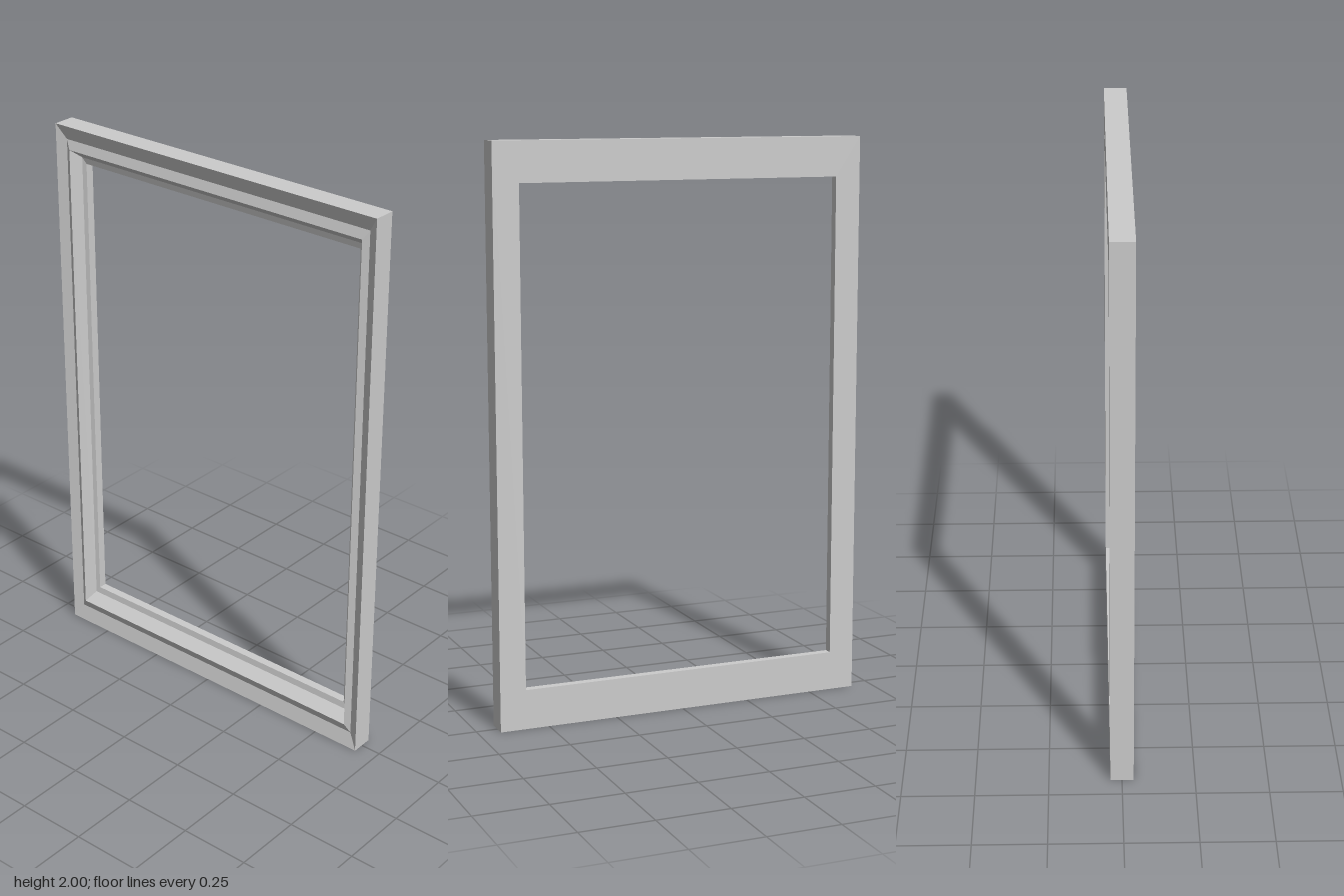
import * as THREE from 'three';

// Outer half width and height, and the width of the side and top/bottom rails
const HALF_W = 0.675, HEIGHT = 2, SIDE = 0.092, RAIL = 0.139;

// Moulding section: [fraction of the way from outer to inner edge, z]
const PROFILE = [
  [0, -0.04], [0, 0.04], [0.38, 0.023], [0.61, 0.035],
  [0.84, -0.005], [1, -0.01], [1, -0.04],
];

// Mitred corner point of the section, in the corner given by signs sx, sy
function cornerPoint([sx, sy], [t, z]) {
  return [
    sx * (HALF_W - t * SIDE),
    HEIGHT / 2 + sy * (HEIGHT / 2 - t * RAIL),
    z,
  ];
}

// One rail: the section swept between two neighbouring mitred corners
function railGeometry(from, to) {
  const pos = [];
  PROFILE.forEach((p, j) => {
    const q = PROFILE[(j + 1) % PROFILE.length];
    const a = cornerPoint(from, p), b = cornerPoint(to, p);
    const c = cornerPoint(to, q), d = cornerPoint(from, q);
    pos.push(...a, ...b, ...c, ...a, ...c, ...d);
  });
  const geo = new THREE.BufferGeometry();
  geo.setAttribute('position', new THREE.Float32BufferAttribute(pos, 3));
  geo.computeVertexNormals();
  return geo;
}

export function createModel() {
  const group = new THREE.Group();
  group.name = 'pictureFrame';
  const material = new THREE.MeshStandardMaterial({ color: 0xcccccc, flatShading: true });

  // Four rails, counter-clockwise from the bottom
  const corners = [[-1, -1], [1, -1], [1, 1], [-1, 1]];
  ['bottomRail', 'leftRail', 'topRail', 'rightRail'].forEach((name, i) => {
    const rail = new THREE.Mesh(railGeometry(corners[i], corners[(i + 1) % 4]), material);
    rail.name = name;
    group.add(rail);
  });
  return group;
}
